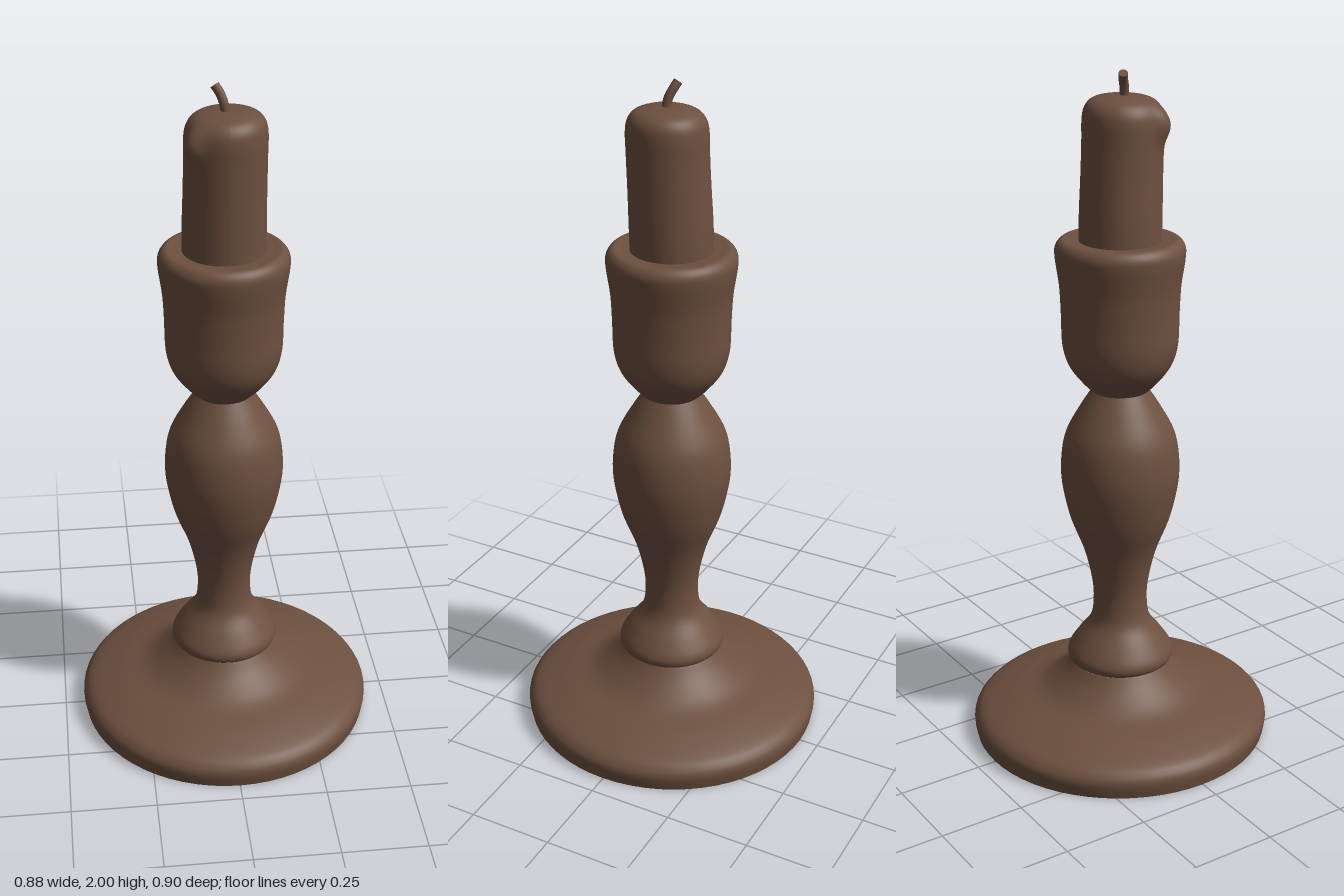
import * as THREE from 'three';

const brown = new THREE.MeshStandardMaterial({ color: 0x6d503f });
brown.name = 'brown';

const vectors = (points) => points.map(([x, y]) => new THREE.Vector2(x, y));

// Turned part: a spline through the profile points, bottom to top
function turned(name, points, steps) {
  const profile = new THREE.SplineCurve(vectors(points)).getPoints(steps);
  const mesh = new THREE.Mesh(new THREE.LatheGeometry(profile, 64), brown);
  mesh.name = name;
  return mesh;
}

export function createModel() {
  const model = new THREE.Group();
  model.name = 'candlestick';

  // Underside of the foot
  const underside = new THREE.Mesh(new THREE.CircleGeometry(0.436, 64).rotateX(Math.PI / 2), brown);
  underside.name = 'underside';
  underside.position.y = 0.004;

  // Wide foot, slightly deeper than it is broad
  const foot = turned('foot', [
    [0.436, 0.004], [0.442, 0.045], [0.432, 0.07], [0.405, 0.09], [0.33, 0.117],
    [0.24, 0.143], [0.175, 0.19], [0.142, 0.228],
  ], 36);
  for (const part of [underside, foot]) part.scale.z = 1.015;

  // Stem with a lower collar and a pear-shaped swelling
  const stem = turned('stem', [
    [0.142, 0.228], [0.156, 0.24], [0.156, 0.266], [0.128, 0.31], [0.09, 0.362], [0.08, 0.42],
    [0.084, 0.49], [0.107, 0.59], [0.148, 0.7], [0.171, 0.81], [0.171, 0.89], [0.157, 0.96],
    [0.12, 1.03], [0.082, 1.09],
  ], 64);

  // Candle cup with a rounded lip
  const cup = turned('cup', [
    [0.082, 1.09], [0.112, 1.12], [0.148, 1.17], [0.165, 1.23], [0.168, 1.32], [0.172, 1.4],
    [0.183, 1.48], [0.182, 1.513], [0.165, 1.533], [0.14, 1.532], [0.1, 1.528],
  ], 56);

  // Candle: leans a little forward, with a softened crown and one wax bulge
  const candle = turned('candle', [
    [0.116, 1.5], [0.116, 1.6], [0.114, 1.7], [0.113, 1.8], [0.113, 1.86],
    [0.106, 1.895], [0.085, 1.918], [0.045, 1.928], [0, 1.93],
  ], 48);
  const position = candle.geometry.attributes.position;
  for (let i = 0; i < position.count; i++) {
    const x = position.getX(i), y = position.getY(i), z = position.getZ(i);
    const r = Math.hypot(x, z);
    const rise = THREE.MathUtils.smoothstep(y, 1.5, 1.9);
    const offAngle = Math.atan2(Math.sin(Math.atan2(z, x) - 2.5), Math.cos(Math.atan2(z, x) - 2.5));
    const bulge = 1 + 0.2 * Math.exp(-((offAngle / 0.25) ** 2)) * Math.exp(-(((y - 1.86) / 0.05) ** 2));
    position.setXYZ(i, x * bulge + 0.004 * rise, y + 0.12 * (r / 0.113) * x * Math.max(0, rise - 0.6),
      z * bulge + 0.012 * rise);
  }
  candle.geometry.computeVertexNormals();

  // Bent wick with a closed tip
  const wickPath = new THREE.CatmullRomCurve3([
    new THREE.Vector3(0.004, 1.91, 0.016),
    new THREE.Vector3(-0.002, 1.95, 0.012),
    new THREE.Vector3(-0.012, 1.975, 0.002),
    new THREE.Vector3(-0.024, 1.993, -0.006),
  ]);
  const wick = new THREE.Mesh(new THREE.TubeGeometry(wickPath, 12, 0.013, 10), brown);
  wick.name = 'wick';
  const wickTip = new THREE.Mesh(new THREE.CircleGeometry(0.013, 10), brown);
  wickTip.name = 'wickTip';
  wickTip.position.copy(wickPath.getPoint(1));
  wickTip.lookAt(wickPath.getPoint(1).add(wickPath.getTangent(1)));

  model.add(underside, foot, stem, cup, candle, wick, wickTip);
  return model;
}
